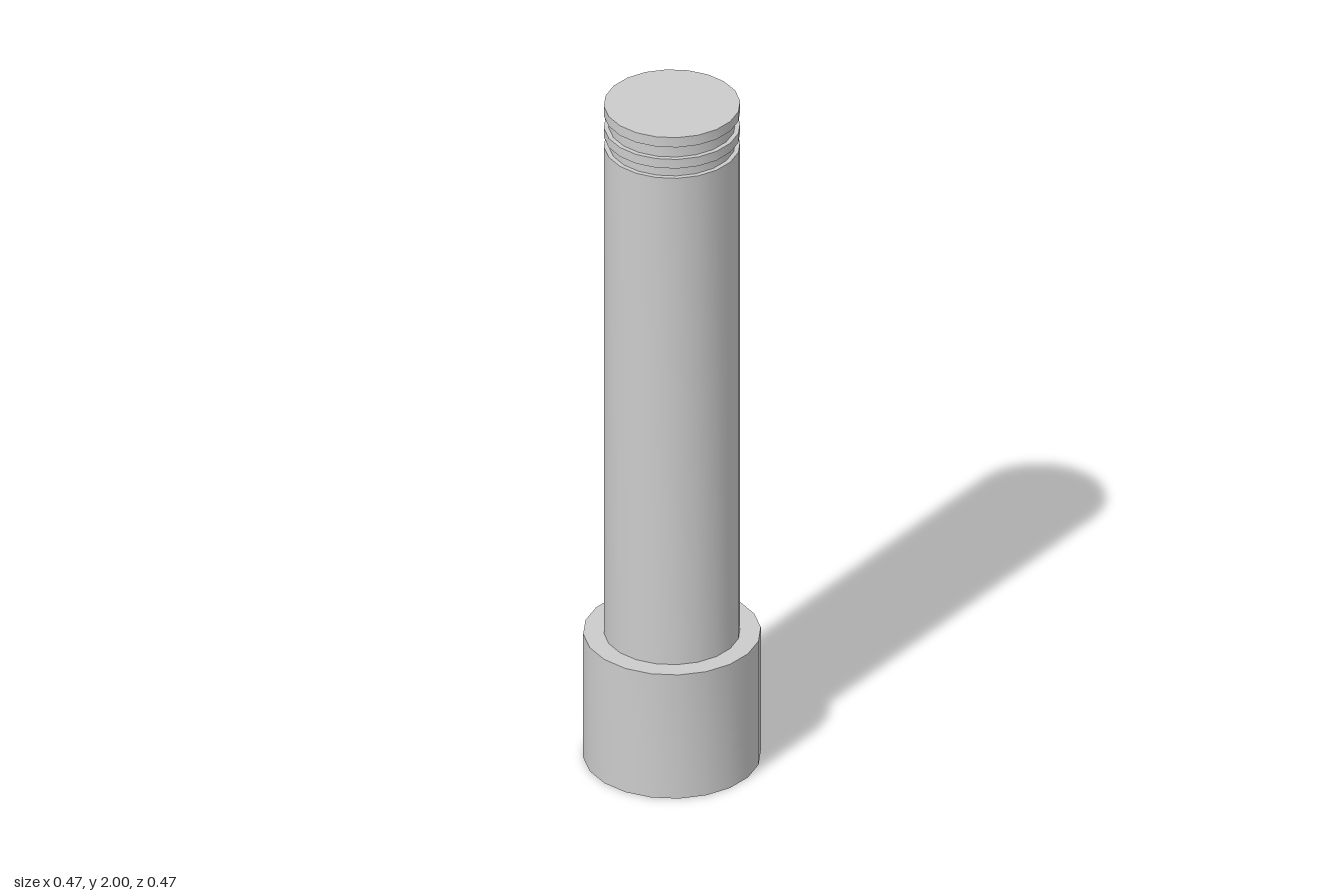
import * as THREE from 'three';
import { toCreasedNormals } from 'three/addons/utils/BufferGeometryUtils.js';

const SIDES = 20;
const BASE_R = 0.237, SHAFT_R = 0.182, GROOVE_R = 0.169;
const BASE_H = 0.38, TOP = 2;

export function createModel() {
  const group = new THREE.Group();
  const material = new THREE.MeshStandardMaterial({ color: 0xcccccc, side: THREE.DoubleSide });

  const addLathe = (name, profile) => {
    const points = profile.map(([r, y]) => new THREE.Vector2(r, y));
    const geometry = toCreasedNormals(new THREE.LatheGeometry(points, SIDES), 0.6);
    const mesh = new THREE.Mesh(geometry, material);
    mesh.name = name;
    group.add(mesh);
  };

  // Wide sleeve, open underneath, with a flat shoulder
  addLathe('baseSleeve', [[BASE_R, 0], [BASE_R, BASE_H], [SHAFT_R, BASE_H]]);

  // Shaft with two square grooves cut near the top
  const shaft = [[SHAFT_R, BASE_H]];
  for (const [low, high] of [[1.875, 1.905], [1.933, 1.97]]) {
    shaft.push([SHAFT_R, low], [GROOVE_R, low], [GROOVE_R, high], [SHAFT_R, high]);
  }
  shaft.push([SHAFT_R, TOP]);
  addLathe('groovedShaft', shaft);

  // Flat end cap
  const cap = new THREE.Mesh(new THREE.CircleGeometry(SHAFT_R, SIDES), material);
  cap.name = 'topCap';
  cap.rotation.x = -Math.PI / 2;
  cap.position.y = TOP;
  group.add(cap);

  return group;
}
